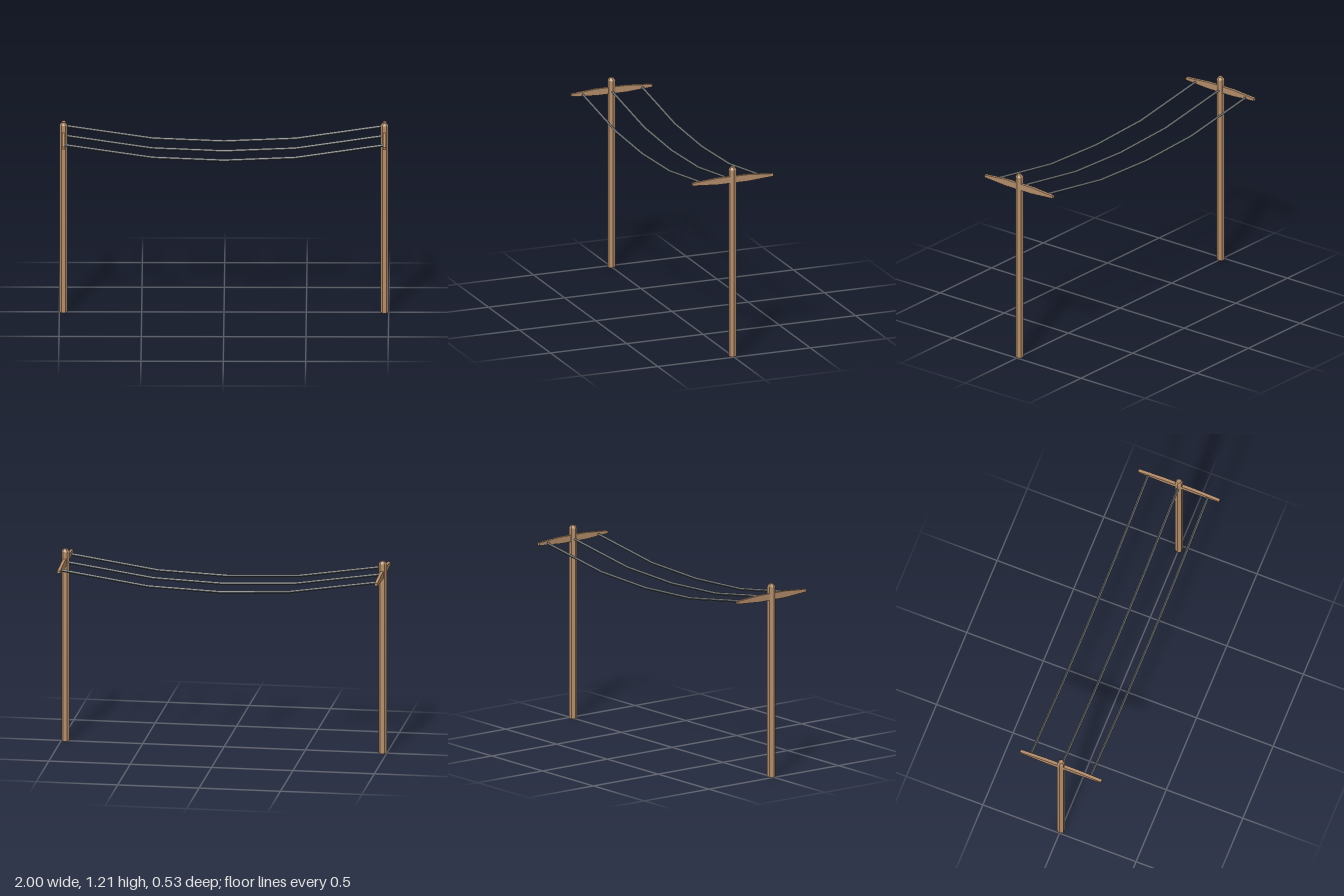
import * as THREE from 'three';

const wood = new THREE.MeshStandardMaterial({ color: 0xb48d6a, flatShading: true });
wood.name = 'brown wood';
const cable = new THREE.MeshStandardMaterial({ color: 0x676b6e, flatShading: true });
cable.name = 'grey cable';

function part(name, geometry, material) {
  const mesh = new THREE.Mesh(geometry, material);
  mesh.name = name;
  return mesh;
}

// Hexagonal post with a chamfered top and open foot, corners pointing along x
function postGeometry() {
  const profile = [[0.025, 0], [0.025, 1.188], [0.015, 1.205], [0, 1.205]]
    .map(([r, y]) => new THREE.Vector2(r, y));
  return new THREE.LatheGeometry(profile, 6).rotateY(Math.PI / 2);
}

// Flat crossarm that narrows toward both ends
function crossarmGeometry() {
  const outline = [[-0.265, 1.117], [-0.1, 1.105], [0.1, 1.105], [0.265, 1.117],
    [0.265, 1.133], [0.1, 1.146], [-0.1, 1.146], [-0.265, 1.133]]
    .map(([z, y]) => new THREE.Vector2(z, y));
  return new THREE.ExtrudeGeometry(new THREE.Shape(outline), { depth: 0.019, bevelEnabled: false })
    .translate(0, 0, -0.009)
    .rotateY(Math.PI / 2);
}

// Four-sided wire, corner up, in four straight lengths that sag at the middle
function wireGeometry() {
  const stations = [[-0.972, 1.122], [-0.435, 1.042], [0, 1.024], [0.435, 1.042], [0.972, 1.122]];
  const geometry = new THREE.CylinderGeometry(0.009, 0.009, 4, 4, 4).rotateZ(Math.PI / 2);
  const p = geometry.attributes.position;
  for (let i = 0; i < p.count; i++) {
    const [x, y] = stations[Math.round(p.getX(i)) + 2];
    p.setXYZ(i, x, y + p.getY(i), p.getZ(i));
  }
  geometry.computeVertexNormals();
  return geometry;
}

export function createModel() {
  const model = new THREE.Group();
  model.name = 'utilityPoles';

  // Two matching poles
  for (const [side, x] of [['right', -0.975], ['left', 0.975]]) {
    const pole = new THREE.Group();
    pole.name = side + 'Pole';
    pole.position.x = x;
    pole.add(part('post', postGeometry(), wood), part('crossarm', crossarmGeometry(), wood));
    model.add(pole);
  }

  // Three wires strung between them
  for (const [name, z] of [['frontWire', 0.19], ['middleWire', 0], ['backWire', -0.2]]) {
    const wire = part(name, wireGeometry(), cable);
    wire.position.z = z;
    model.add(wire);
  }
  return model;
}
